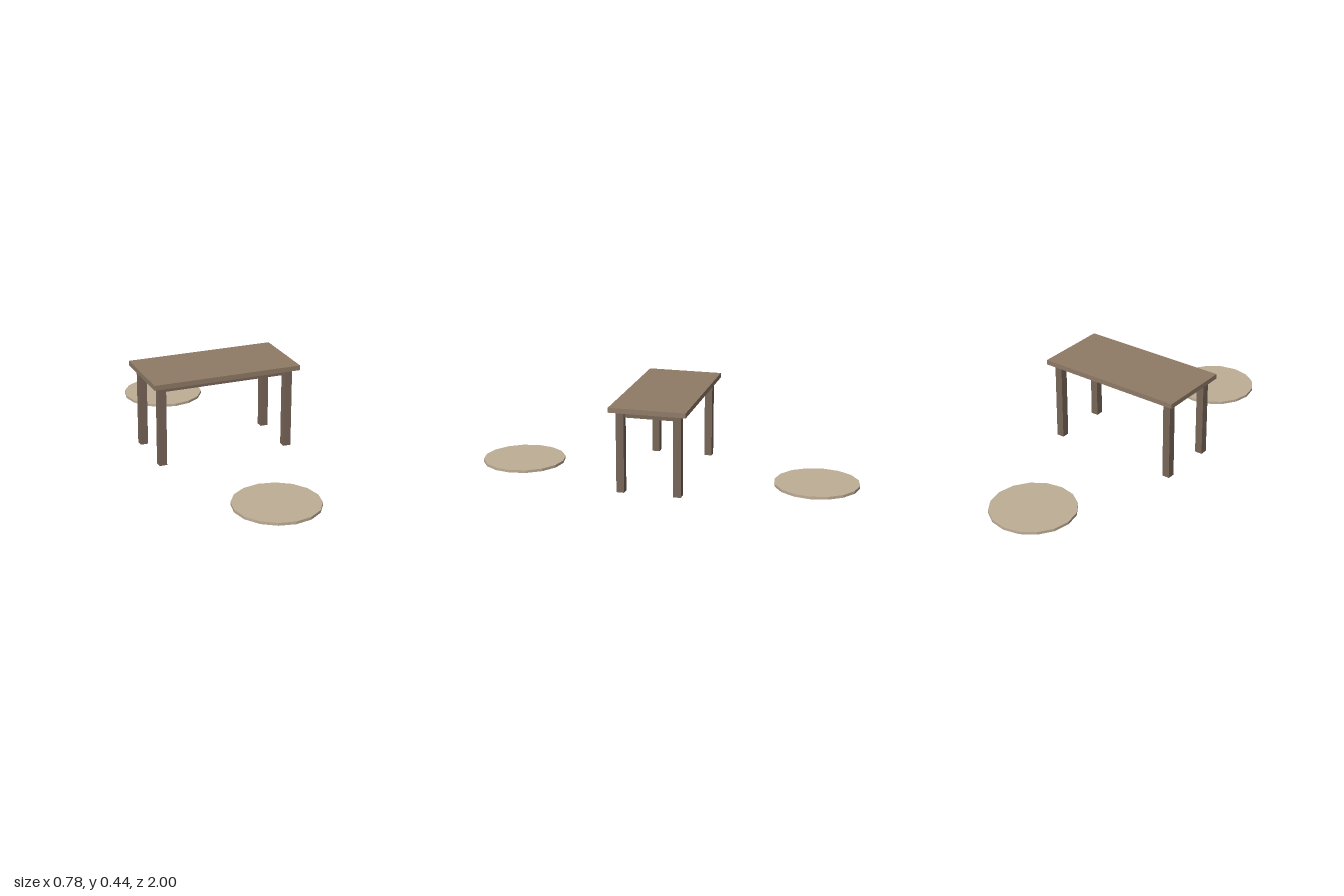
import * as THREE from 'three';

const material = (color) => new THREE.MeshStandardMaterial({ color, flatShading: true });

export function createModel() {
  const model = new THREE.Group();
  model.name = 'tableWithCushions';
  const topWood = material(0x8f7a66);
  const frameWood = material(0x786658);
  const fabric = material(0xbfae96);

  const add = (name, geometry, mat, x, y, z, parent) => {
    const mesh = new THREE.Mesh(geometry, mat);
    mesh.name = name;
    mesh.position.set(x, y, z);
    parent.add(mesh);
  };

  // Table: top, apron block under it and four square legs
  const table = new THREE.Group();
  table.name = 'table';
  model.add(table);
  add('tableTop', new THREE.BoxGeometry(0.78, 0.025, 0.39), topWood, 0, 0.431, 0, table);
  add('apron', new THREE.BoxGeometry(0.68, 0.034, 0.29), frameWood, 0, 0.4015, 0, table);
  const leg = new THREE.BoxGeometry(0.04, 0.4185, 0.04);
  for (const [sx, side] of [[1, 'left'], [-1, 'right']]) {
    for (const [sz, end] of [[1, 'Front'], [-1, 'Back']]) {
      add(`${side}${end}Leg`, leg, frameWood, sx * 0.34, 0.20925, sz * 0.145, table);
    }
  }

  // Flat round floor cushions in front of and behind the table
  const disc = new THREE.CylinderGeometry(0.217, 0.217, 0.014, 16);
  add('frontCushion', disc, fabric, 0, 0.007, 0.783, model);
  add('backCushion', disc, fabric, 0, 0.007, -0.783, model);

  return model;
}
